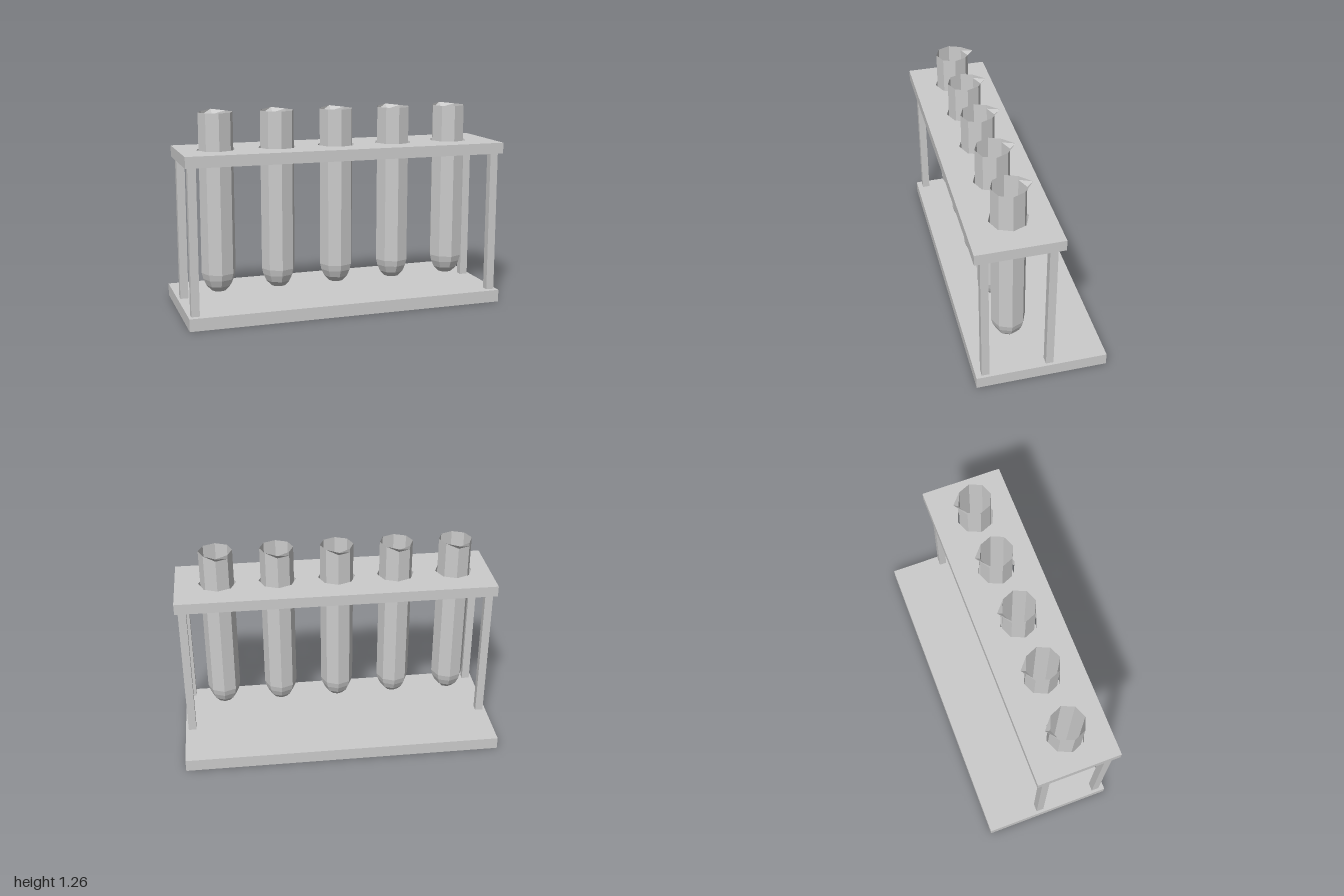
import * as THREE from 'three';

const TUBE_Z = 0.145;
const TUBE_XS = [-0.77, -0.394, -0.018, 0.358, 0.734];

const solid = new THREE.MeshStandardMaterial({ color: 0xcccccc, flatShading: true });
const thin = new THREE.MeshStandardMaterial({ color: 0xcccccc, flatShading: true, side: THREE.DoubleSide });

// Box given by its lower and upper corner
function box(name, [x0, y0, z0], [x1, y1, z1]) {
  const mesh = new THREE.Mesh(new THREE.BoxGeometry(x1 - x0, y1 - y0, z1 - z0), solid);
  mesh.position.set((x0 + x1) / 2, (y0 + y1) / 2, (z0 + z1) / 2);
  mesh.name = name;
  return mesh;
}

// Upper shelf with an eight-sided hole for every tube
function makeShelf() {
  const shape = new THREE.Shape([[-1, -0.403], [1, -0.403], [1, 0.115], [-1, 0.115]]
    .map(([x, y]) => new THREE.Vector2(x, y)));
  for (const x of TUBE_XS) {
    const corners = [];
    for (let i = 0; i < 8; i++) {
      const a = -i * Math.PI / 4;
      corners.push(new THREE.Vector2(x + 0.118 * Math.cos(a), -TUBE_Z + 0.118 * Math.sin(a)));
    }
    shape.holes.push(new THREE.Path(corners));
  }
  const geometry = new THREE.ExtrudeGeometry(shape, { depth: 0.068, bevelEnabled: false });
  geometry.rotateX(-Math.PI / 2);
  const shelf = new THREE.Mesh(geometry, solid);
  shelf.position.y = 0.964;
  shelf.name = 'shelf';
  return shelf;
}

// Open eight-sided tube with a rounded bottom and a pouring lip at the back
function makeTubeGeometry() {
  const profile = [[0, 0.167], [0.046, 0.167], [0.077, 0.2], [0.096, 0.242],
    [0.105, 0.28], [0.105, 1.23], [0.105, 1.255]].map(([r, y]) => new THREE.Vector2(r, y));
  const geometry = new THREE.LatheGeometry(profile, 8);
  const p = geometry.attributes.position;
  for (let i = 0; i < p.count; i++) {
    if (p.getY(i) > 1.25 && p.getZ(i) < -0.1) p.setXYZ(i, 0, 1.261, -0.138);
  }
  return geometry;
}

export function createModel() {
  const model = new THREE.Group();
  model.name = 'testTubeRack';

  model.add(box('base', [-1, 0, -0.403], [1, 0.077, 0.403]), makeShelf());

  // Four corner posts
  for (const x of [-0.982, 0.932]) {
    for (const z of [-0.074, 0.32]) {
      model.add(box('post', [x, 0.077, z], [x + 0.05, 0.964, z + 0.047]));
    }
  }

  const tubeGeometry = makeTubeGeometry();
  for (const x of TUBE_XS) {
    const tube = new THREE.Mesh(tubeGeometry, thin);
    tube.position.set(x, 0, TUBE_Z);
    tube.name = 'testTube';
    model.add(tube);
  }
  return model;
}
